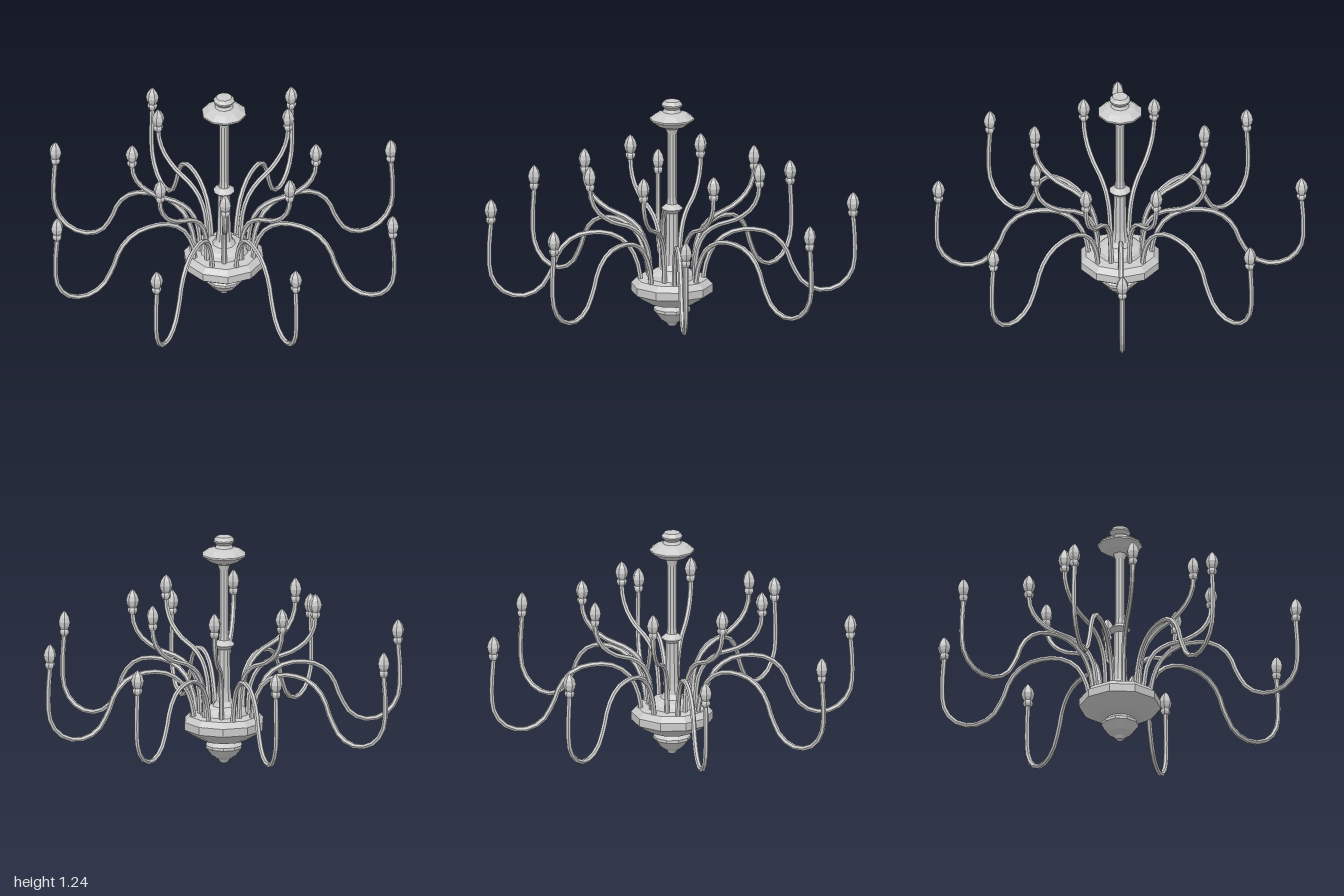
import * as THREE from 'three';

const metal = new THREE.MeshStandardMaterial({ color: 0xcccccc, flatShading: true, side: THREE.DoubleSide });

// Faceted turned part from [radius, height] pairs, with corners on the x axis
function turned(name, profile, sides) {
  const points = profile.map(([r, y]) => new THREE.Vector2(r, y));
  const mesh = new THREE.Mesh(new THREE.LatheGeometry(points, sides, Math.PI / 2), metal);
  mesh.name = name;
  return mesh;
}

// Curved arm in the xy plane with a candle bulb on its end
function makeArm(name, path, segments) {
  const arm = new THREE.Group();
  arm.name = name;
  const curve = new THREE.CatmullRomCurve3(path.map(([x, y]) => new THREE.Vector3(x, y, 0)));
  const tube = new THREE.Mesh(new THREE.TubeGeometry(curve, segments, 0.014, 6), metal);
  tube.name = name + 'Tube';
  const [x, y] = path[path.length - 1];
  const cup = turned('bulbCup', [[0, -0.005], [0.02, -0.005], [0.027, 0.01], [0.027, 0.02], [0.02, 0.032]], 6);
  const bulb = turned('bulb', [[0.019, 0.024], [0.03, 0.045], [0.035, 0.068], [0.028, 0.095], [0.013, 0.118], [0, 0.13]], 6);
  cup.position.set(x, y, 0);
  bulb.position.set(x, y, 0);
  arm.add(tube, cup, bulb);
  return arm;
}

export function createModel() {
  const model = new THREE.Group();
  model.name = 'chandelier';

  // Bowl with its lower finial
  model.add(turned('bowl', [
    [0, 0], [0.02, 0.002], [0.032, 0.02], [0.065, 0.042], [0.1, 0.085], [0.1, 0.1],
    [0.075, 0.122], [0.12, 0.13], [0.18, 0.165], [0.219, 0.192], [0.219, 0.235],
    [0.19, 0.265], [0.13, 0.27], [0.12, 0.292], [0.105, 0.305], [0.06, 0.315], [0, 0.315],
  ], 10));

  // Central column with a thin knop
  model.add(turned('column', [
    [0.065, 0.31], [0.046, 0.34], [0.038, 0.4], [0.034, 0.59], [0.034, 0.625], [0.058, 0.648],
    [0.056, 0.654], [0.03, 0.675], [0.026, 0.71], [0.026, 1.06], [0.034, 1.085], [0.034, 1.105],
  ], 10));

  // Ceiling canopy and cap
  model.add(turned('canopy', [
    [0.026, 1.065], [0.036, 1.09], [0.075, 1.105], [0.12, 1.138], [0.12, 1.147], [0.085, 1.172],
    [0.05, 1.182], [0.042, 1.198], [0.057, 1.215], [0.057, 1.223], [0.042, 1.242], [0, 1.242],
  ], 10));

  // Eight long S-shaped arms, and eight short arms set between them
  const lowerPath = [
    [0.168, 0.23], [0.178, 0.33], [0.235, 0.455], [0.32, 0.513], [0.41, 0.526], [0.52, 0.504], [0.6, 0.43],
    [0.645, 0.32], [0.71, 0.22], [0.81, 0.182], [0.91, 0.216], [0.967, 0.3], [0.978, 0.43], [0.968, 0.59],
  ];
  const upperPath = [
    [0.128, 0.24], [0.132, 0.36], [0.149, 0.455], [0.19, 0.53], [0.26, 0.58],
    [0.36, 0.617], [0.445, 0.682], [0.482, 0.75], [0.49, 0.81],
  ];
  for (let i = 0; i < 8; i++) {
    const angle = i * Math.PI / 4;
    const lower = makeArm('lowerArm', lowerPath, 26);
    lower.rotation.y = angle;
    const upper = makeArm('upperArm', upperPath, 15);
    upper.rotation.y = angle + Math.PI / 8;
    model.add(lower, upper);
  }
  return model;
}
